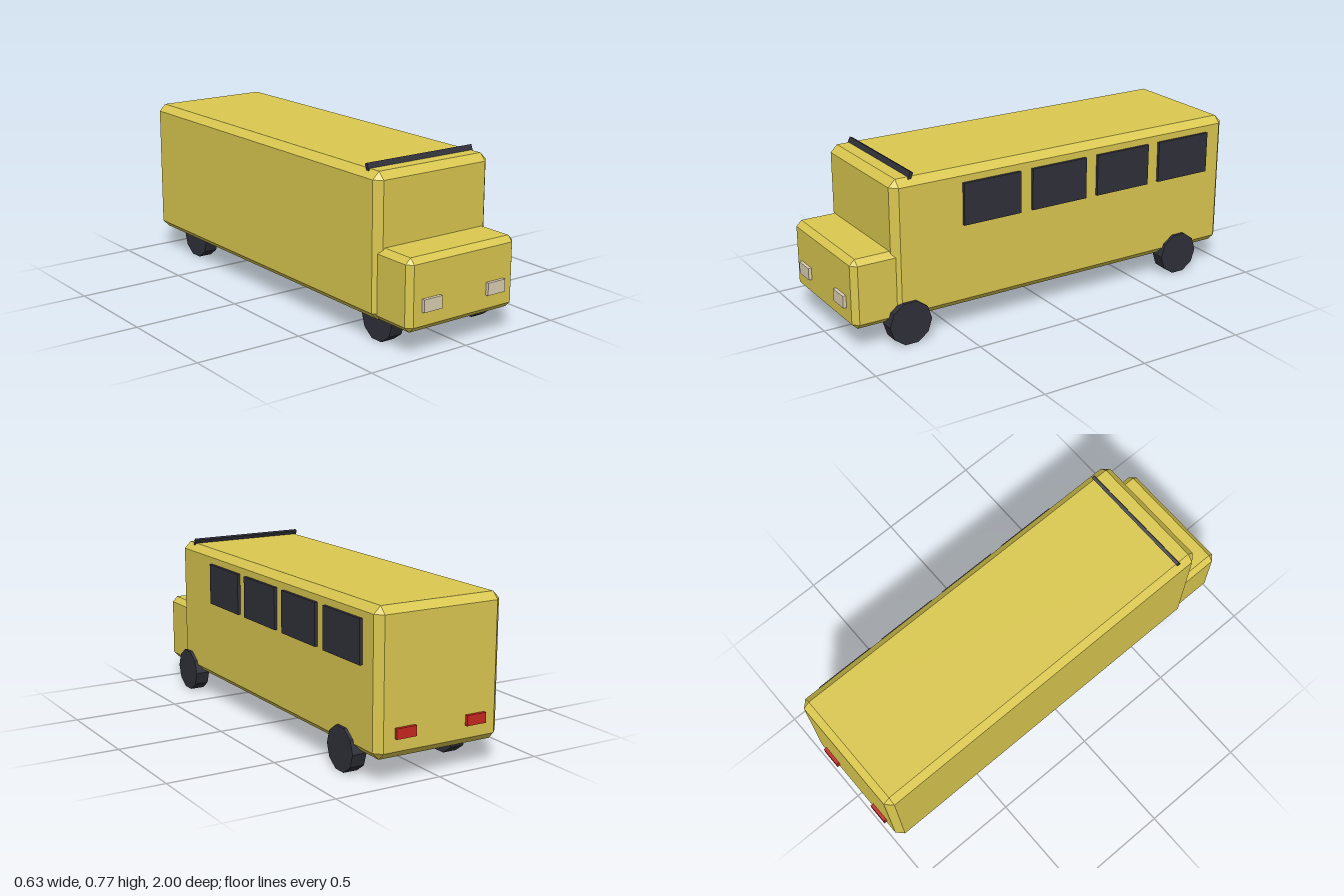
import * as THREE from 'three';
import { ConvexGeometry } from 'three/addons/geometries/ConvexGeometry.js';

// Box with single-facet bevels on every edge, given by its min and max corners
function chamferBox(min, max, c) {
  const points = [];
  for (const i of [0, 1]) for (const j of [0, 1]) for (const k of [0, 1]) {
    const side = [i, j, k];
    for (let axis = 0; axis < 3; axis++) {
      const p = side.map((s, a) => {
        const inset = a === axis ? 0 : c;
        return s ? max[a] - inset : min[a] + inset;
      });
      points.push(new THREE.Vector3(...p));
    }
  }
  return new ConvexGeometry(points);
}

export function createModel() {
  const bus = new THREE.Group();
  bus.name = 'bus';

  const paint = new THREE.MeshStandardMaterial({ color: 0xdbc850 });
  const dark = new THREE.MeshStandardMaterial({ color: 0x30303a });
  const lamp = new THREE.MeshStandardMaterial({ color: 0xddd0b4 });
  const red = new THREE.MeshStandardMaterial({ color: 0xc8281f });
  paint.name = 'yellowPaint';
  dark.name = 'darkRubberAndGlass';
  lamp.name = 'headlightCream';
  red.name = 'tailLightRed';

  function add(name, geometry, material, x = 0, y = 0, z = 0) {
    const mesh = new THREE.Mesh(geometry, material);
    mesh.name = name;
    mesh.position.set(x, y, z);
    bus.add(mesh);
    return mesh;
  }

  // Cabin and engine hood
  add('body', chamferBox([-0.317, 0.107, -0.985], [0.301, 0.743, 0.797], 0.032), paint);
  add('hood', chamferBox([-0.301, 0.107, 0.70], [0.285, 0.425, 0.985], 0.025), paint);

  // Side windows, on the model's left only
  for (let i = 0; i < 4; i++) {
    add('window' + (i + 1), new THREE.BoxGeometry(0.03, 0.192, 0.287), dark, 0.3, 0.584, 0.317 - i * 0.349);
  }

  // Tilted bar across the roof front
  const bar = add('roofBar', new THREE.BoxGeometry(0.572, 0.05, 0.015), dark, -0.008, 0.74, 0.7);
  bar.rotation.x = -0.42;

  // Ten-sided wheels
  const wheel = new THREE.CylinderGeometry(0.1015, 0.1015, 0.068, 10).rotateZ(Math.PI / 2).toNonIndexed();
  wheel.computeVertexNormals();
  for (const [end, z] of [['front', 0.732], ['rear', -0.727]]) {
    add(end + 'LeftWheel', wheel, dark, 0.281, 0.0965, z);
    add(end + 'RightWheel', wheel, dark, -0.228, 0.0965, z);
  }

  // Headlights and tail lights
  for (const [side, x] of [['left', 0.166], ['right', -0.184]]) {
    add(side + 'Headlight', new THREE.BoxGeometry(0.096, 0.056, 0.03), lamp, x, 0.221, 0.985);
    add(side + 'TailLight', new THREE.BoxGeometry(0.096, 0.046, 0.03), red, x, 0.218, -0.985);
  }

  return bus;
}
